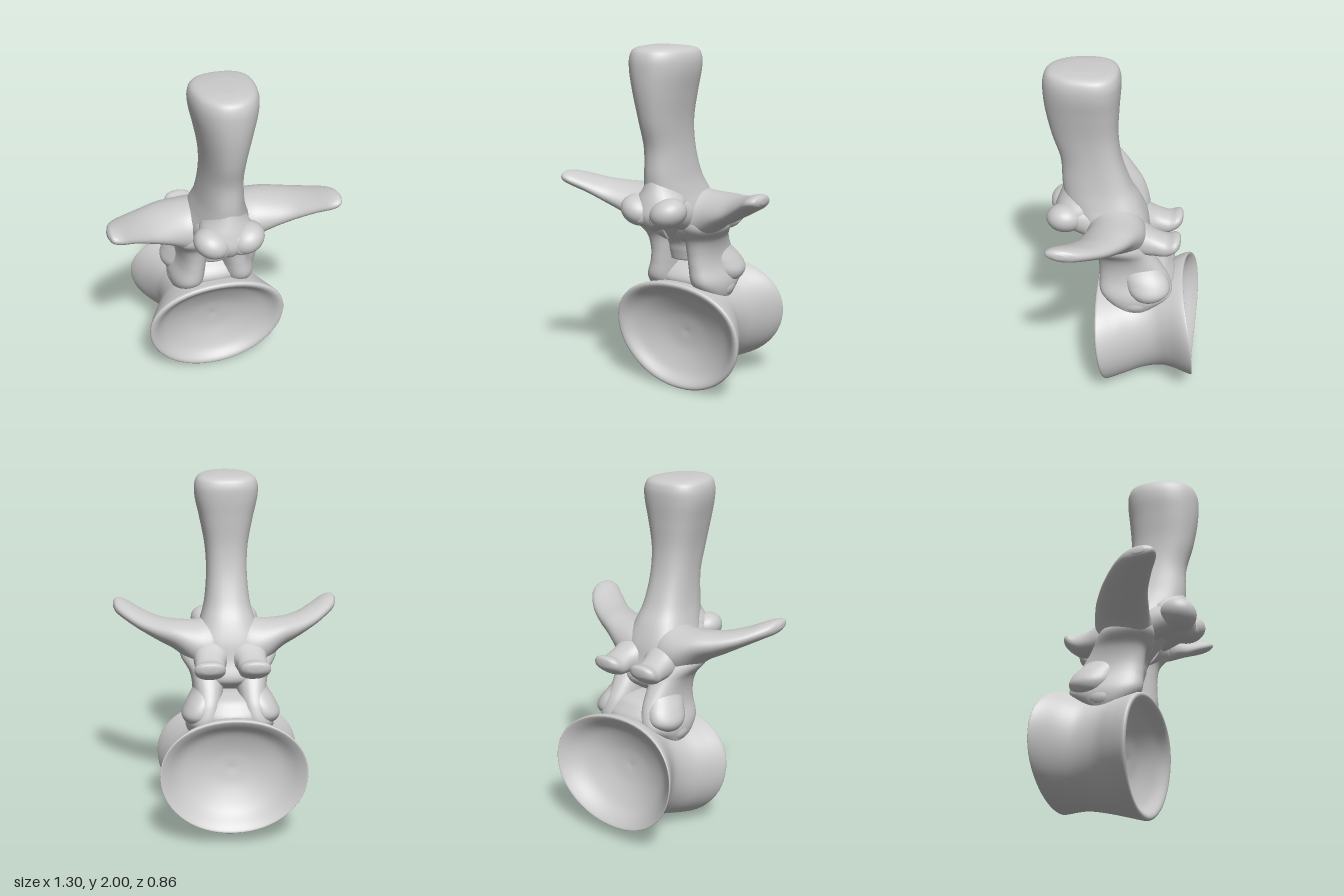
import * as THREE from 'three';

const material = new THREE.MeshStandardMaterial({ color: 0xcccccc, roughness: 0.8 });

// Smooth closed loft. Each row: [t, a, b, radiusA, radiusB, tilt];
// place(t, a, b) turns the loft axis and the two cross axes into x, y, z.
function loft(name, rows, place, { power = 2, egg = 0, sides = 40, steps = 6 } = {}) {
  const centres = new THREE.CatmullRomCurve3(rows.map(r => new THREE.Vector3(r[0], r[1], r[2])), false, 'catmullrom');
  const radii = new THREE.CatmullRomCurve3(rows.map(r => new THREE.Vector3(r[3], r[4], r[5] || 0)), false, 'catmullrom');
  const count = (rows.length - 1) * steps, pos = [], index = [];
  const round = v => Math.sign(v) * Math.abs(v) ** (2 / power);
  for (let i = 0; i <= count; i++) {
    const c = centres.getPoint(i / count), r = radii.getPoint(i / count);
    for (let j = 0; j < sides; j++) {
      const w = j / sides * Math.PI * 2;
      const q = round(Math.sin(w)) * r.y;
      const p = round(Math.cos(w)) * r.x * (1 - egg * Math.sin(w));
      const cos = Math.cos(r.z), sin = Math.sin(r.z);
      pos.push(...place(c.x, c.y + p * cos - q * sin, c.z + p * sin + q * cos));
    }
  }
  for (let i = 0; i < count; i++) for (let j = 0; j < sides; j++) {
    const a = i * sides + j, b = i * sides + (j + 1) % sides;
    index.push(a, b, a + sides, b, b + sides, a + sides);
  }
  // end caps
  for (const end of [0, 1]) {
    const r = rows[end * (rows.length - 1)], centre = pos.length / 3, first = end * count * sides;
    pos.push(...place(r[0], r[1], r[2]));
    for (let j = 0; j < sides; j++) {
      const a = first + j, b = first + (j + 1) % sides;
      index.push(...(end ? [a, b, centre] : [b, a, centre]));
    }
  }
  // turn faces outward if the chosen axes mirror them
  const at = k => new THREE.Vector3().fromArray(pos, k * 3);
  let volume = 0;
  for (let k = 0; k < index.length; k += 3) volume += at(index[k]).dot(at(index[k + 1]).cross(at(index[k + 2])));
  if (volume < 0) index.reverse();
  const geometry = new THREE.BufferGeometry();
  geometry.setAttribute('position', new THREE.Float32BufferAttribute(pos, 3));
  geometry.setIndex(index);
  geometry.computeVertexNormals();
  const mesh = new THREE.Mesh(geometry, material);
  mesh.name = name;
  return mesh;
}

export function createModel() {
  const group = new THREE.Group();
  group.name = 'vertebra';

  // Spool-shaped body with a hollow dish at both ends, leaning with height
  group.add(loft('vertebralBody', [
    [-0.25, 0, 0.40, 0.01, 0.01],
    [-0.265, 0, 0.40, 0.14, 0.11],
    [-0.31, 0, 0.40, 0.28, 0.22],
    [-0.37, 0, 0.40, 0.37, 0.288],
    [-0.388, 0, 0.40, 0.405, 0.32],
    [-0.36, 0, 0.40, 0.39, 0.325],
    [-0.28, 0, 0.39, 0.32, 0.315],
    [-0.20, 0, 0.375, 0.285, 0.305],
    [-0.10, 0, 0.355, 0.30, 0.305],
    [0.0, 0, 0.34, 0.358, 0.315],
    [0.07, 0, 0.333, 0.397, 0.327],
    [0.108, 0, 0.33, 0.41, 0.33],
    [0.112, 0, 0.33, 0.38, 0.302],
    [0.06, 0, 0.33, 0.30, 0.24],
    [0.01, 0, 0.33, 0.15, 0.12],
    [-0.005, 0, 0.33, 0.01, 0.01],
  ], (z, x, y) => [x, y, z + 0.11 * (y - 0.35) - (z < -0.15 ? (-0.15 - z) * 1.1 * x * x : 0)],
  { power: 2.1, egg: -0.1, sides: 56 }));

  // Saddle between body and pillars: the floor of the canal
  group.add(loft('canalFloor', [
    [0.53, 0, -0.08, 0.20, 0.07],
    [0.60, 0, -0.085, 0.25, 0.14],
    [0.66, 0, -0.095, 0.245, 0.185],
    [0.71, 0, -0.115, 0.225, 0.185],
    [0.76, 0, -0.13, 0.19, 0.14],
    [0.80, 0, -0.13, 0.14, 0.10],
    [0.82, 0, -0.12, 0.05, 0.03],
  ], (y, x, z) => [x, y, z], { power: 2.3 }));

  // Tall spine, running down into the roof of the arch
  group.add(loft('spinousProcess', [
    [0.785, 0, 0.03, 0.08, 0.05],
    [0.84, 0, -0.015, 0.12, 0.11],
    [0.90, 0, -0.035, 0.14, 0.15],
    [1.00, 0, 0.02, 0.17, 0.175],
    [1.10, 0, 0.07, 0.185, 0.205],
    [1.20, 0, 0.115, 0.15, 0.21],
    [1.30, 0, 0.15, 0.125, 0.19],
    [1.45, 0, 0.178, 0.113, 0.168],
    [1.60, 0, 0.21, 0.12, 0.18],
    [1.75, 0, 0.222, 0.147, 0.198],
    [1.87, 0, 0.222, 0.172, 0.207],
    [1.945, 0, 0.22, 0.172, 0.202],
    [1.985, 0, 0.22, 0.145, 0.172],
    [2.0, 0, 0.23, 0.07, 0.08],
  ], (y, x, z) => [x, y, z], { power: 2.4, egg: 0.18 }));

  // Wedge joining the two front lobes below the spine
  group.add(loft('frontJointBridge', [
    [1.0, 0, 0.29, 0.015, 0.03],
    [1.03, 0, 0.285, 0.07, 0.085],
    [1.09, 0, 0.275, 0.145, 0.12],
    [1.16, 0, 0.25, 0.145, 0.13],
    [1.24, 0, 0.22, 0.10, 0.13],
    [1.35, 0, 0.20, 0.06, 0.11],
  ], (y, x, z) => [x, y, z], { sides: 28 }));

  for (const s of [1, -1]) {
    const side = s > 0 ? 'left' : 'right';

    // Pillar beside the canal
    group.add(loft(side + 'Pedicle', [
      [0.54, 0.14, -0.08, 0.08, 0.07],
      [0.60, 0.15, -0.075, 0.095, 0.14],
      [0.67, 0.148, -0.085, 0.10, 0.205],
      [0.76, 0.13, -0.075, 0.088, 0.20],
      [0.84, 0.123, -0.05, 0.088, 0.178],
      [0.92, 0.128, -0.015, 0.10, 0.158],
      [1.00, 0.145, 0.035, 0.13, 0.155],
      [1.08, 0.14, 0.05, 0.11, 0.13],
    ], (y, x, z) => [s * x, y, z], { power: 2.3 }));

    // Swept wing
    group.add(loft(side + 'TransverseProcess', [
      [0.04, 0.03, 1.04, 0.15, 0.16],
      [0.12, 0.025, 1.045, 0.165, 0.16, -0.05],
      [0.20, 0.03, 1.065, 0.163, 0.13, -0.15],
      [0.30, 0.06, 1.105, 0.155, 0.088, -0.17],
      [0.40, 0.10, 1.135, 0.14, 0.067, -0.08],
      [0.50, 0.16, 1.175, 0.132, 0.052, 0.05],
      [0.58, 0.222, 1.212, 0.12, 0.045, 0.1],
      [0.63, 0.255, 1.23, 0.085, 0.036, 0.1],
      [0.65, 0.265, 1.235, 0.03, 0.015, 0.1],
    ], (x, z, y) => [s * x, y, z]));

    // Front joint lobe, rising outward
    const lobe = new THREE.Mesh(new THREE.SphereGeometry(1, 32, 20), material);
    lobe.name = side + 'FrontJointLobe';
    lobe.position.set(s * 0.095, 1.11, 0.32);
    lobe.scale.set(0.105, 0.082, 0.105);
    lobe.rotation.z = s * 0.4;
    group.add(lobe);

    // Neck carrying the front lobe
    group.add(loft(side + 'FrontJointNeck', [
      [0.05, 0.08, 1.06, 0.09, 0.12],
      [0.18, 0.08, 1.09, 0.085, 0.10],
      [0.28, 0.07, 1.11, 0.08, 0.085],
      [0.37, 0.06, 1.10, 0.06, 0.065],
      [0.40, 0.05, 1.09, 0.02, 0.03],
    ], (z, x, y) => [s * x, y, z], { sides: 28 }));

    // Rear joint tongue
    group.add(loft(side + 'RearJointTongue', [
      [0.0, 0.09, 1.02, 0.11, 0.11],
      [-0.10, 0.10, 1.015, 0.105, 0.095],
      [-0.18, 0.115, 0.995, 0.085, 0.07],
      [-0.25, 0.12, 0.985, 0.085, 0.055],
      [-0.30, 0.125, 1.005, 0.083, 0.045],
      [-0.325, 0.125, 1.015, 0.055, 0.03],
      [-0.332, 0.125, 1.018, 0.015, 0.01],
    ], (z, x, y) => [s * x, y, z], { power: 2.3, sides: 28 }));

    // Broad rib facet swelling from the flank of the pillar
    group.add(loft(side + 'RibFacet', [
      [0.63, 0.18, -0.15, 0.015, 0.02],
      [0.66, 0.185, -0.155, 0.07, 0.08],
      [0.71, 0.185, -0.16, 0.092, 0.12],
      [0.77, 0.17, -0.145, 0.083, 0.125],
      [0.83, 0.145, -0.11, 0.07, 0.115],
      [0.89, 0.125, -0.08, 0.06, 0.10],
    ], (y, x, z) => [s * x, y, z], { sides: 28 }));
  }

  return group;
}
